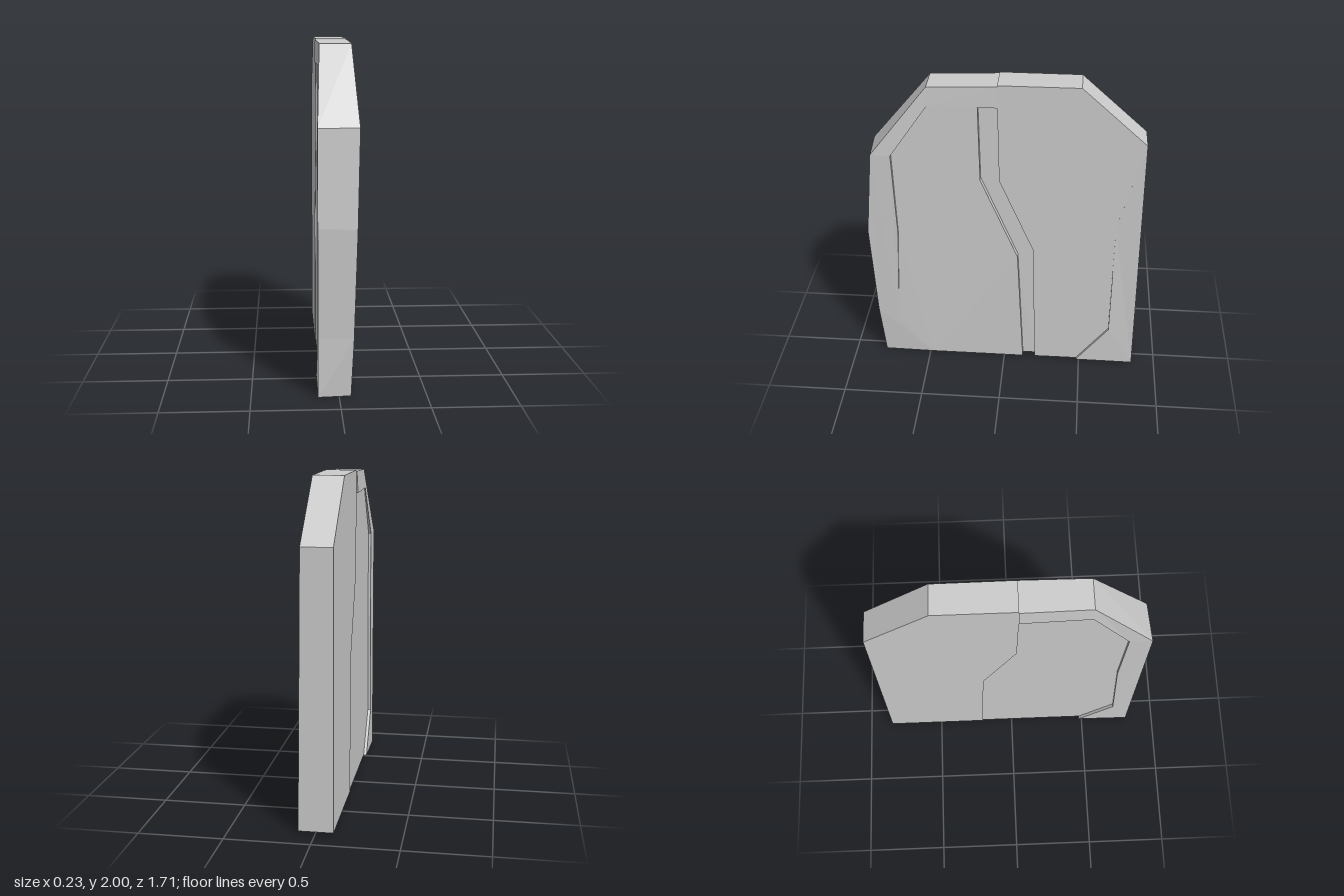
import * as THREE from 'three';

const material = new THREE.MeshStandardMaterial({ color: 0xcccccc, flatShading: true });

// Lofted plate: each corner is [z, y, rightX, leftX, leftZ (optional)].
function plate(name, corners) {
  const flat = corners.map(([z, y]) => new THREE.Vector2(-z, y));
  if (THREE.ShapeUtils.area(flat) < 0) {
    flat.reverse();
    corners = [...corners].reverse();
  }
  const right = corners.map(([z, y, r]) => [r, y, z]);
  const left = corners.map(([z, y, , l, lz = z]) => [l, y, lz]);
  const pos = [];
  const tri = (a, b, c) => pos.push(...a, ...b, ...c);

  // Broad faces
  for (let [a, b, c] of THREE.ShapeUtils.triangulateShape(flat, [])) {
    if (THREE.ShapeUtils.area([flat[a], flat[b], flat[c]]) < 0) [b, c] = [c, b];
    tri(right[a], right[b], right[c]);
    tri(left[a], left[c], left[b]);
  }
  // Edge walls
  for (let i = 0; i < corners.length; i++) {
    const j = (i + 1) % corners.length;
    tri(right[i], left[i], left[j]);
    tri(right[i], left[j], right[j]);
  }
  const geometry = new THREE.BufferGeometry();
  geometry.setAttribute('position', new THREE.Float32BufferAttribute(pos, 3));
  geometry.computeVertexNormals();
  const mesh = new THREE.Mesh(geometry, material);
  mesh.name = name;
  return mesh;
}

const withX = (line, r, l) => line.map(([z, y]) => [z, y, r, l]);

export function createModel() {
  const group = new THREE.Group();
  group.name = 'crackedStoneSlab';

  // Both sides of the crack, listed from the top down
  const crackBack = [[0.04, 1.86], [0.03, 1.37], [-0.18, 0.88], [-0.205, 0.015]];
  const crackFront = [[0.155, 1.86], [0.145, 1.37], [-0.085, 0.82], [-0.125, 0.015]];

  // Inner edge of the front rim, from the top down
  const rimInner = [
    [0.45, 1.86, 0.092, -0.105],
    [0.68, 1.53, 0.113, -0.117],
    [0.665, 0.97, 0.102, -0.117],
    [0.70, 0.28, 0.085, -0.12],
    [0.48, 0.015, 0.085, -0.12],
  ];

  group.add(plate('backSlab', [
    [0.04, 2, 0.083, -0.105],
    ...withX(crackBack, 0.083, -0.105),
    [-0.85, 0.015, 0.08, -0.105],
    [-0.84, 1.645, 0.08, -0.105],
    [-0.445, 2, 0.08, -0.105],
  ]));

  // Raised lower corner at the back, fading out upwards
  group.add(plate('backRaisedCorner', [
    [-0.48, 0.015, 0.098, 0.06],
    [-0.85, 0.015, 0.1, 0.06],
    [-0.84, 1.645, 0.08, 0.06],
    [-0.69, 1.07, 0.081, 0.06],
    [-0.685, 0.28, 0.098, 0.06],
  ]));

  group.add(plate('frontRim', [
    [0.04, 1.86, 0.088, -0.115],
    ...rimInner,
    [0.80, 0.005, 0.068, -0.12, 0.815],
    [0.83, 0.35, 0.083, -0.12, 0.815],
    [0.855, 0.98, 0.1, -0.12, 0.815],
    [0.80, 1.535, 0.115, -0.12, 0.815],
    [0.45, 1.98, 0.088, -0.097],
    [0.04, 1.993, 0.086, -0.108],
  ]));

  group.add(plate('frontPanel', [
    ...withX(crackFront, 0.085, -0.1),
    ...withX([...rimInner].reverse(), 0.085, -0.1),
  ]));

  // Recessed floor of the crack
  group.add(plate('crackFloor', [
    ...withX(crackBack, 0.045, -0.1),
    ...withX([...crackFront].reverse(), 0.045, -0.1),
  ]));

  return group;
}
